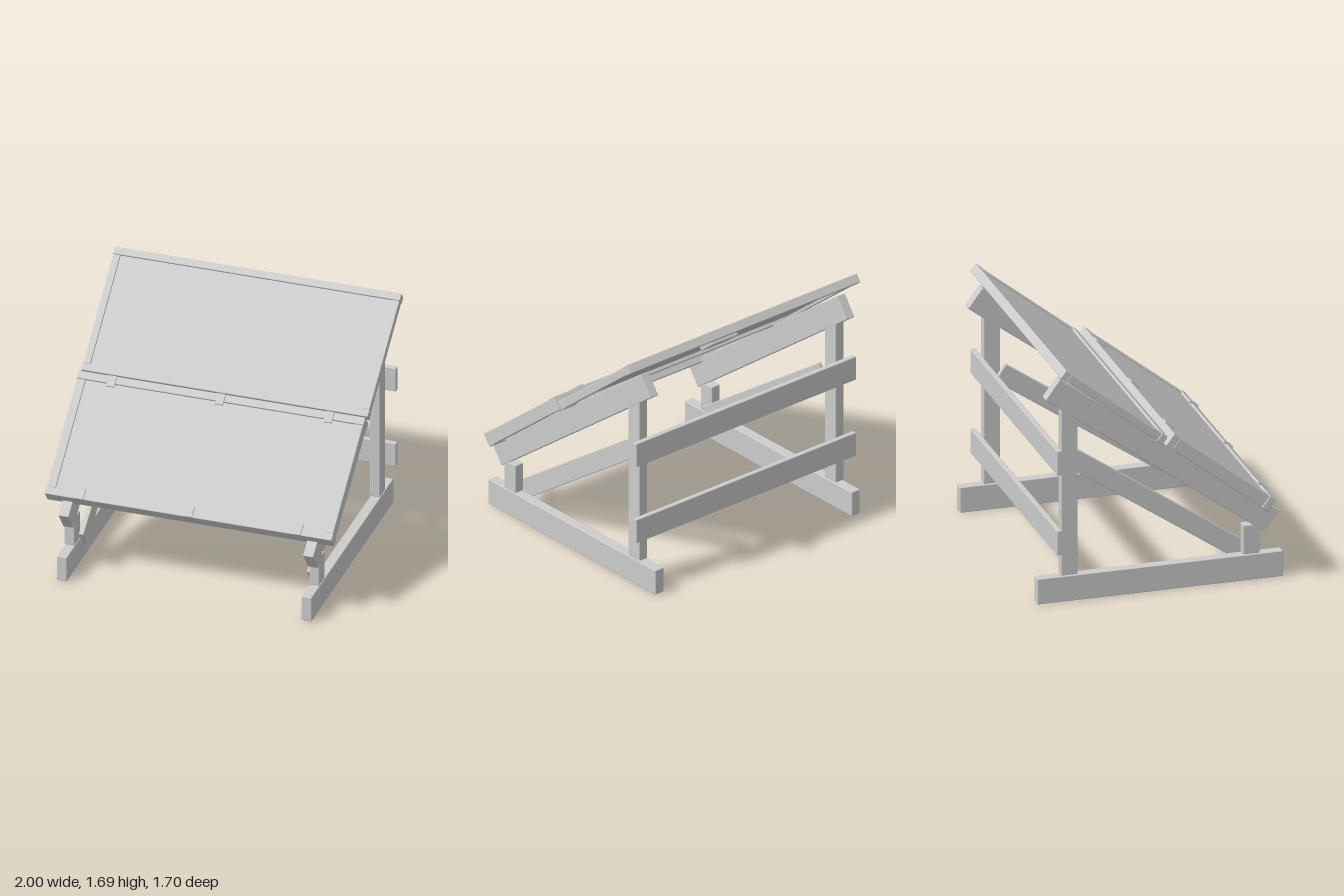
import * as THREE from 'three';
import { RoundedBoxGeometry } from 'three/addons/geometries/RoundedBoxGeometry.js';

export function createModel() {
  const model = new THREE.Group();
  model.name = 'tiltedPanelStand';
  const grey = new THREE.MeshStandardMaterial({ color: 0xcccccc });
  grey.name = 'light grey';

  // Box with slightly eased edges, optionally tilted about x
  function bar(parent, name, [w, h, d], [x, y, z], tilt = 0) {
    const r = Math.min(0.006, Math.min(w, h, d) * 0.3);
    const mesh = new THREE.Mesh(new RoundedBoxGeometry(w, h, d, 2, r), grey);
    mesh.name = name;
    mesh.position.set(x, y, z);
    mesh.rotation.x = tilt;
    parent.add(mesh);
    return mesh;
  }

  // Mirrored side frames: base, posts, sloping beam and inner brace
  for (const [side, s] of [['left', 1], ['right', -1]]) {
    const frame = new THREE.Group();
    frame.name = side + 'Frame';
    const x = s * 0.852;
    bar(frame, 'baseBeam', [0.072, 0.18, 1.7], [x, 0.09, 0]);
    bar(frame, 'rearPost', [0.07, 1.215, 0.115], [x, 0.7925, -0.628]);
    bar(frame, 'frontPost', [0.07, 0.205, 0.115], [x, 0.2875, 0.632]);
    bar(frame, 'slopingBeam', [0.072, 0.17, 1.878], [x, 0.959, 0.011], 0.634);
    bar(frame, 'brace', [0.034, 0.133, 1.414], [s * 0.794, 0.583, 0.002], 0.597);
    model.add(frame);
  }

  // Horizontal slats across the back
  for (const y of [0.448, 1.016]) {
    bar(model, 'backSlat', [1.91, 0.174, 0.036], [0, y, -0.718]);
  }

  // Framed panel; the group origin lies in the middle of the frame's top face
  function panel(name, [y, z], tilt, thick, rail, side) {
    const g = new THREE.Group();
    g.name = name;
    g.position.set(0, y, z);
    g.rotation.x = tilt;
    const len = 0.9;
    for (const s of [1, -1]) {
      bar(g, s > 0 ? 'lowerRail' : 'upperRail', [2, thick, rail], [0, -thick / 2, s * (len - rail) / 2]);
      bar(g, 'sideRail', [side, thick - 0.008, len - 2 * rail], [s * (0.997 - side / 2), -thick / 2, 0]);
    }
    const sheet = new THREE.Mesh(
      new THREE.BoxGeometry(2 - 2 * side, 0.025, len - 2 * rail + 0.004), grey);
    sheet.name = 'sheet';
    sheet.position.y = -0.0275;
    g.add(sheet);
    model.add(g);
    return g;
  }

  const upper = panel('upperPanel', [1.41, -0.333], 0.67, 0.065, 0.052, 0.05);
  bar(upper, 'junctionBox', [0.23, 0.035, 0.14], [0, -0.055, -0.11]);

  const lower = panel('lowerPanel', [0.871, 0.417], 0.667, 0.1, 0.055, 0.06);
  // Small clips lapping over the lower panel's rails onto the sheet
  for (const x of [-0.757, 0, 0.757]) {
    bar(lower, 'upperClip', [0.057, 0.014, 0.08], [x, 0.002, -0.409]);
    bar(lower, 'lowerClip', [0.057, 0.014, 0.08], [x, 0.002, 0.412]);
  }

  return model;
}
